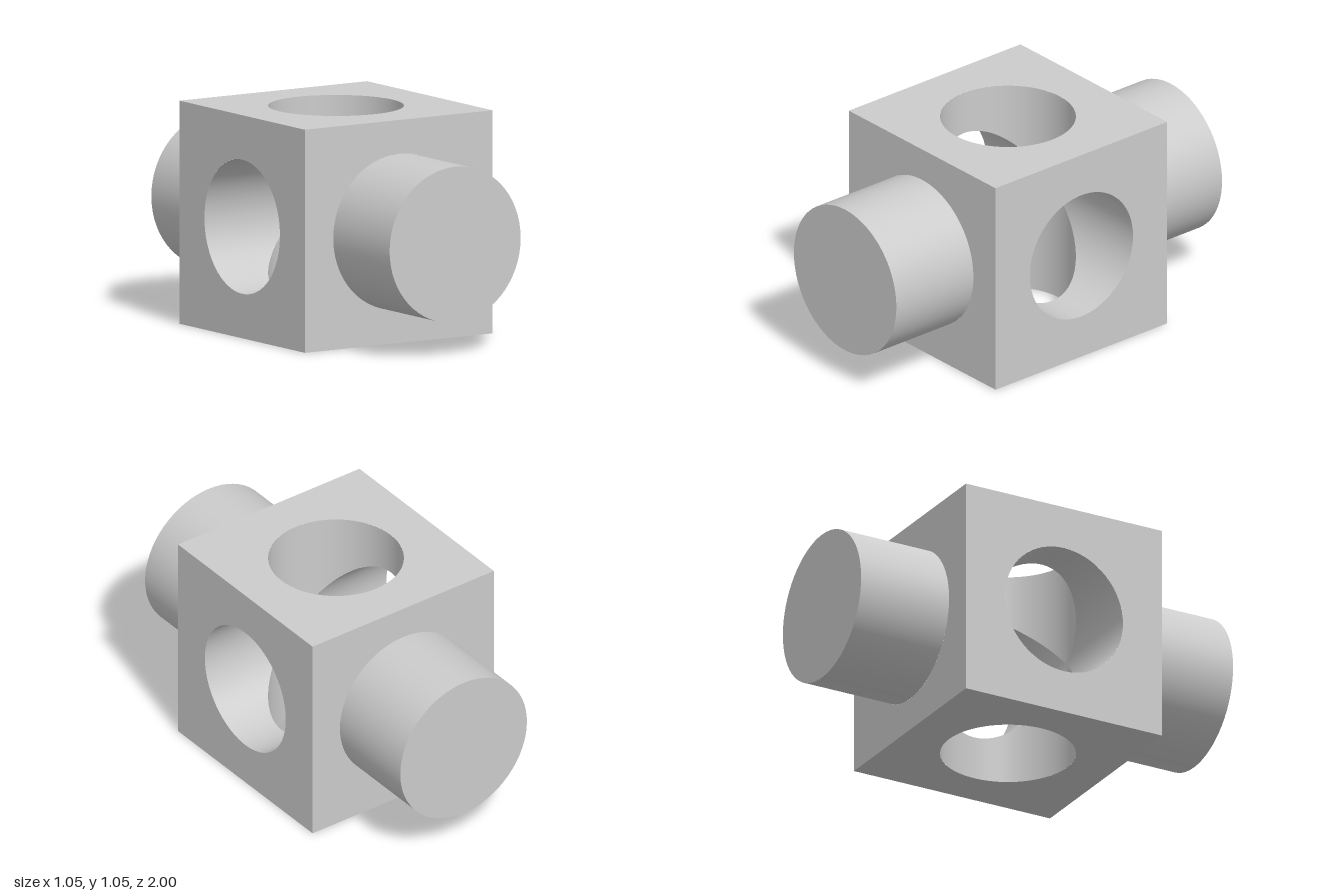
import * as THREE from 'three';

const HALF = 0.527;   // half the cube's side
const BORE = 0.317;   // radius of the crossing holes
const STUB = 0.368;   // radius of the end cylinders
const SEGS = 64;

const material = new THREE.MeshStandardMaterial({ color: 0xcccccc });

function part(name, geometry) {
  const mesh = new THREE.Mesh(geometry, material);
  mesh.name = name;
  return mesh;
}

// Square face with a round hole, facing +z
function piercedFace(radius) {
  const shape = new THREE.Shape([
    new THREE.Vector2(-HALF, -HALF), new THREE.Vector2(HALF, -HALF),
    new THREE.Vector2(HALF, HALF), new THREE.Vector2(-HALF, HALF),
  ]);
  shape.holes.push(new THREE.Path().absarc(0, 0, radius, 0, Math.PI * 2, true));
  return new THREE.ShapeGeometry(shape, SEGS).translate(0, 0, HALF);
}

// Hole wall from the top face down to the seam with the crossing hole, seen from inside
function boreWall() {
  const geometry = new THREE.CylinderGeometry(BORE, BORE, 1, SEGS, 1, true);
  const { position, normal } = geometry.attributes;
  for (let i = 0; i < position.count; i++) {
    position.setY(i, position.getY(i) > 0 ? HALF : Math.abs(position.getX(i)));
    normal.setXYZ(i, -normal.getX(i), 0, -normal.getZ(i));
  }
  geometry.index.array.reverse();
  return geometry;
}

export function createModel() {
  const model = new THREE.Group();
  model.name = 'crossBoredBlock';
  const body = new THREE.Group();
  body.name = 'body';
  body.position.y = HALF;
  model.add(body);

  // Four pierced sides, each with its quarter of the crossing holes
  ['top', 'right', 'bottom', 'left'].forEach((name, k) => {
    const side = new THREE.Group();
    side.name = name + 'Side';
    side.add(part(name + 'Face', piercedFace(BORE).rotateX(-Math.PI / 2)));
    side.add(part(name + 'Bore', boreWall()));
    side.rotation.z = -k * Math.PI / 2;
    body.add(side);
  });

  // Front and back faces with solid cylindrical stubs
  const length = 1 - HALF;
  ['front', 'back'].forEach((name, k) => {
    const end = new THREE.Group();
    end.name = name + 'End';
    end.add(part(name + 'Face', piercedFace(STUB)));
    end.add(part(name + 'Stub', new THREE.CylinderGeometry(STUB, STUB, length, SEGS, 1, true)
      .rotateX(Math.PI / 2).translate(0, 0, HALF + length / 2)));
    end.add(part(name + 'Cap', new THREE.CircleGeometry(STUB, SEGS).translate(0, 0, 1)));
    end.rotation.y = k * Math.PI;
    body.add(end);
  });

  return model;
}
